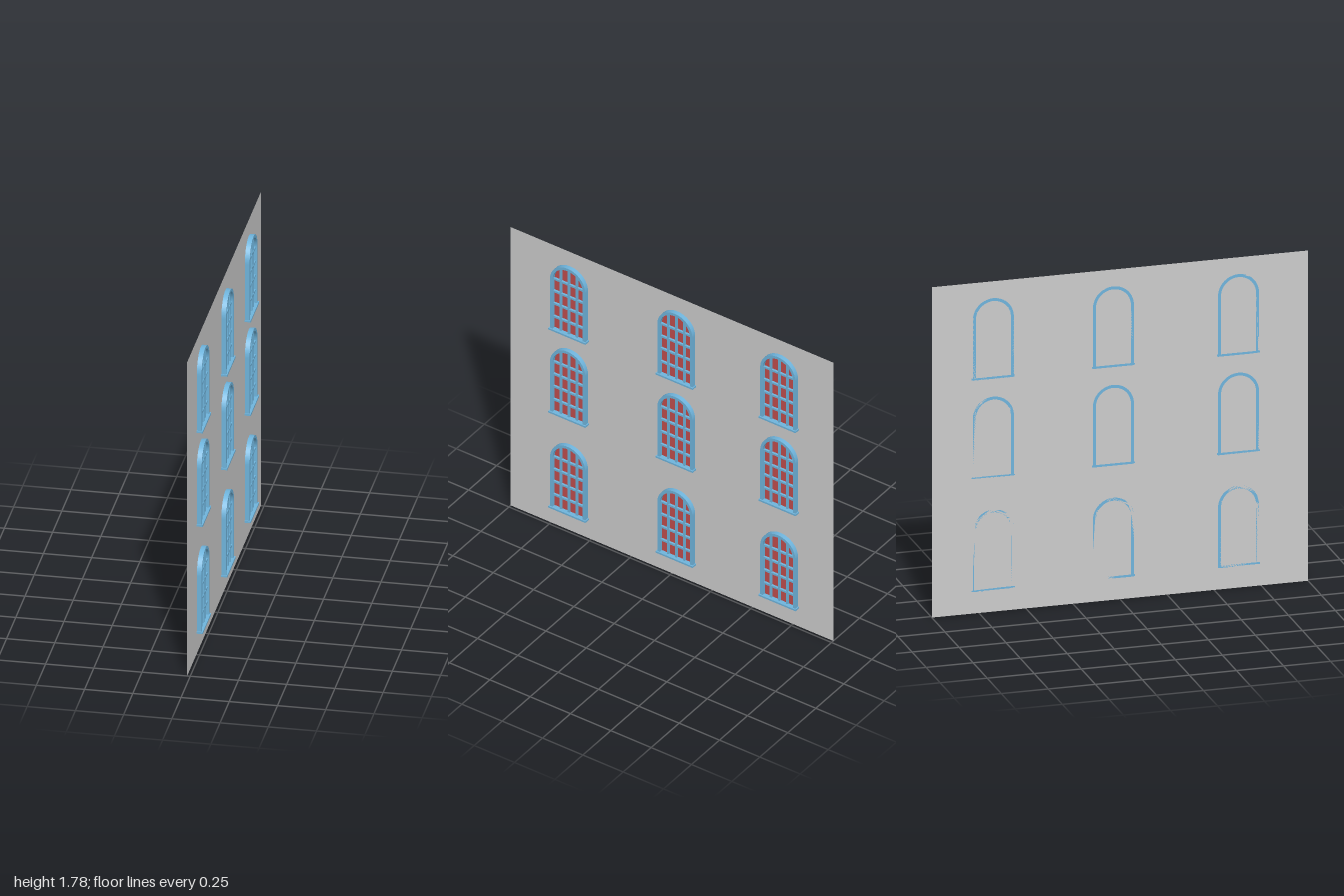
import * as THREE from 'three';

const HALF = 0.109;    // half width of a window
const SPRING = 0.326;  // height where the arch begins
const BACK = -0.016;   // plane of the wall

const wallMat = new THREE.MeshStandardMaterial({ color: 0xcccccc, side: THREE.DoubleSide });
const frameMat = new THREE.MeshStandardMaterial({ color: 0x6fb4dc });
const glassMat = new THREE.MeshStandardMaterial({ color: 0xbf4d4d });

// Round-headed outline, drawn from the sill up
function archOutline(target, r, bottom) {
  target.moveTo(-r, bottom);
  target.lineTo(r, bottom);
  target.lineTo(r, SPRING);
  target.absarc(0, SPRING, r, 0, Math.PI, false);
  target.lineTo(-r, bottom);
  return target;
}

function add(parent, name, geometry, material, x = 0, y = 0, z = 0) {
  const mesh = new THREE.Mesh(geometry, material);
  mesh.name = name;
  mesh.position.set(x, y, z);
  parent.add(mesh);
}

// One window in its own plane: x across, y up, z out of the wall
function createWindow() {
  const win = new THREE.Group();
  win.name = 'window';

  // Arched surround
  const ring = archOutline(new THREE.Shape(), HALF, 0);
  ring.holes.push(archOutline(new THREE.Path(), HALF - 0.016, 0.008));
  add(win, 'frame', new THREE.ExtrudeGeometry(ring,
    { depth: 0.025, bevelEnabled: false, curveSegments: 24 }), frameMat);

  // Glass pane
  const pane = archOutline(new THREE.Shape(), HALF - 0.01, 0.004);
  add(win, 'glass', new THREE.ShapeGeometry(pane, 24), glassMat, 0, 0, 0.006);

  // Upright glazing bars, reaching up to the arch
  for (const x of [-0.05, 0, 0.05]) {
    const top = SPRING + Math.sqrt((HALF - 0.008) ** 2 - x * x);
    add(win, 'uprightBar', new THREE.BoxGeometry(0.011, top, 0.012), frameMat, x, top / 2, 0.011);
  }

  // Level glazing bars
  for (const y of [0.085, 0.168, 0.247, 0.326]) {
    add(win, 'levelBar', new THREE.BoxGeometry(2 * HALF - 0.016, 0.011, 0.012), frameMat, 0, y, 0.0115);
  }

  // Projecting sill
  add(win, 'sill', new THREE.BoxGeometry(0.23, 0.01, 0.032), frameMat, 0, 0.007, 0.016);
  return win;
}

export function createModel() {
  const model = new THREE.Group();
  model.name = 'facade';

  // Built facing +z, then turned to face +x
  const facade = new THREE.Group();
  facade.name = 'windowWall';
  facade.rotation.y = Math.PI / 2;
  facade.position.x = BACK;
  model.add(facade);

  // Thin wall sheet
  add(facade, 'wall', new THREE.PlaneGeometry(2, 1.78), wallMat, 0, 0.89, 0);

  // Three storeys of three windows
  const prototype = createWindow();
  for (const y of [0.115, 0.723, 1.254]) {
    for (const x of [-0.63, 0.035, 0.673]) {
      const win = prototype.clone();
      win.position.set(x, y, 0);
      facade.add(win);
    }
  }
  return model;
}
